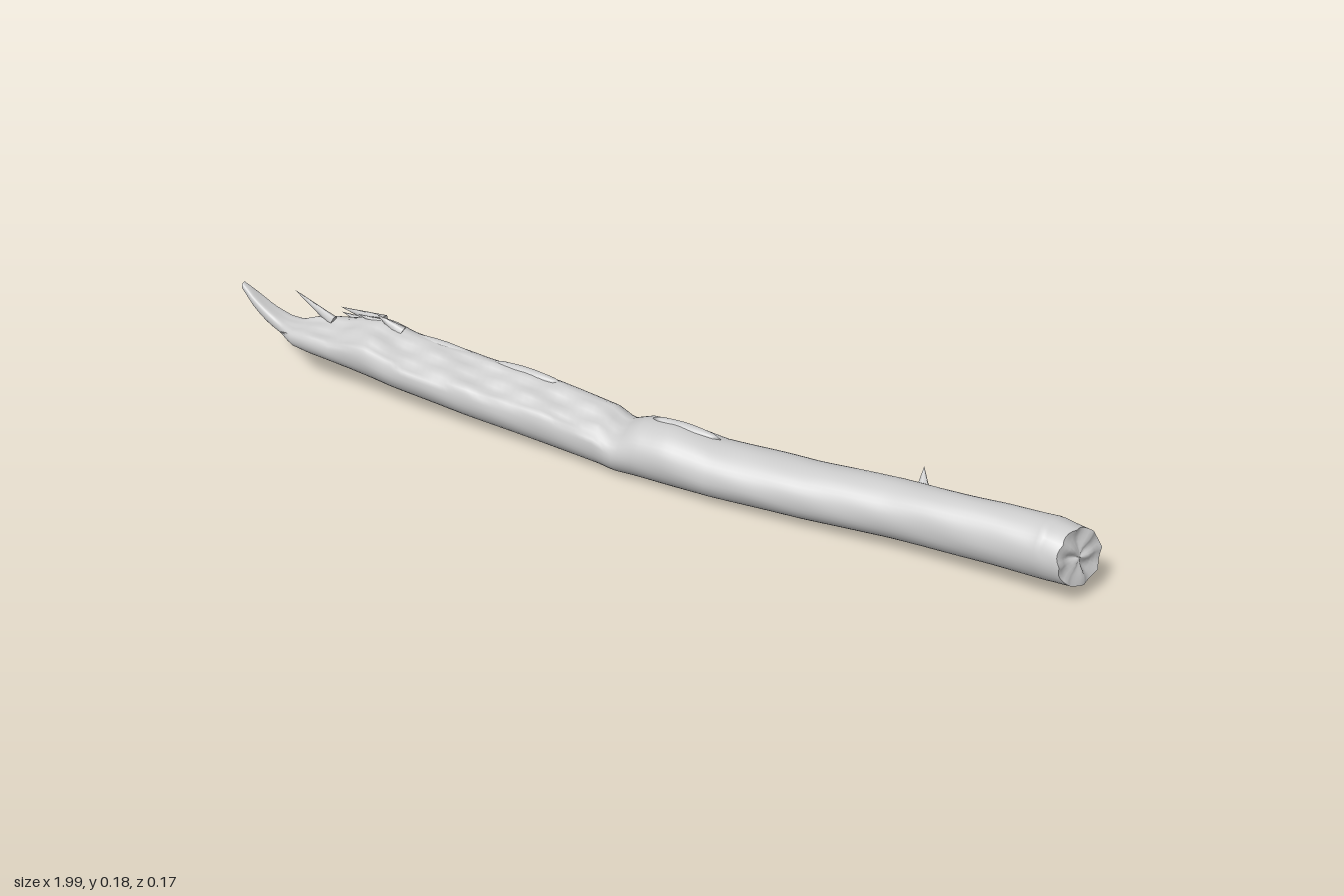
import * as THREE from 'three';

// Cross-sections along the log: x, bottom, top, back z, front z
const STATIONS = [
  [-1.0, 0.172, 0.19, -0.008, 0.008], [-0.965, 0.132, 0.172, -0.018, 0.016],
  [-0.93, 0.106, 0.152, -0.022, 0.02], [-0.89, 0.09, 0.135, -0.03, 0.026],
  [-0.85, 0.077, 0.135, -0.036, 0.046], [-0.8, 0.068, 0.148, -0.06, 0.054],
  [-0.74, 0.059, 0.152, -0.084, 0.056], [-0.69, 0.053, 0.168, -0.088, 0.06],
  [-0.64, 0.048, 0.176, -0.085, 0.064], [-0.58, 0.042, 0.16, -0.084, 0.066],
  [-0.4, 0.028, 0.15, -0.08, 0.07], [-0.2, 0.014, 0.143, -0.075, 0.07],
  [-0.06, 0.008, 0.132, -0.065, 0.076], [-0.02, 0.006, 0.112, -0.061, 0.079],
  [0.03, 0.007, 0.133, -0.058, 0.081], [0.1, 0.009, 0.14, -0.056, 0.084],
  [0.2, 0.012, 0.128, -0.055, 0.084], [0.4, 0.018, 0.132, -0.058, 0.075],
  [0.58, 0.026, 0.143, -0.06, 0.066], [0.66, 0.03, 0.15, -0.05, 0.066],
  [0.8, 0.036, 0.16, -0.045, 0.07], [0.93, 0.041, 0.168, -0.04, 0.078],
  [1.0, 0.043, 0.158, -0.036, 0.074],
];
const RINGS = 130, SIDES = 40;

function section(x) {
  let i = 0;
  while (i < STATIONS.length - 2 && x > STATIONS[i + 1][0]) i++;
  const a = STATIONS[i], b = STATIONS[i + 1];
  const t = (x - a[0]) / (b[0] - a[0]);
  return a.map((v, k) => v + (b[k] - v) * t);
}

// Repeatable lumpiness, periodic around the log
const lumps = (x, a) =>
  0.5 * Math.sin(9 * x + 2 * a) + 0.3 * Math.sin(23 * x - 3 * a + 1) + 0.2 * Math.sin(41 * x + 5 * a + 2);
const rough = (x, a) =>
  0.5 * Math.sin(31 * x + 3 * a) + 0.3 * Math.sin(67 * x - 7 * a) + 0.3 * Math.sin(15 * x + 11 * a);

// Point on the bark at station x and angle a (0 = front, 90 degrees = top)
function surface(x, a) {
  const [, bottom, top, back, front] = section(x);
  const ss = THREE.MathUtils.smoothstep;
  let u = Math.cos(a), v = Math.sin(a);
  const amount = 1 + 0.022 * lumps(x, a) * (v > -0.3 ? 1 : 0.4);
  u *= amount; v *= amount;
  // split, weathered face on the upper front of the broken half
  const broken = ss(x, -0.95, -0.8) * (1 - ss(x, -0.06, 0.02));
  const nz = Math.cos(1.13), ny = Math.sin(1.13);
  const over = u * nz + v * ny - (0.76 + 0.09 * rough(x, a));
  if (over > 0) { u -= nz * over * broken; v -= ny * over * broken; }
  // hollow in the upper side of the torn tongue
  if (v > 0) v *= 1 - 0.4 * (1 - ss(x, -0.9, -0.82)) * ss(x, -1, -0.96) * Math.sin(a) * Math.abs(Math.sin(a));
  // slanted, ragged sawn end
  const end = ss(x, 0.86, 1);
  const dx = end * (0.022 * (1 + Math.cos(a)) + 0.012 * (1 + Math.sin(a)) + 0.005 * Math.abs(Math.sin(4 * a)));
  return [x - dx, (bottom + top) / 2 + v * (top - bottom) / 2, (back + front) / 2 + u * (front - back) / 2];
}

function build(positions, index) {
  const g = new THREE.BufferGeometry();
  g.setAttribute('position', new THREE.Float32BufferAttribute(positions, 3));
  g.setIndex(index);
  g.computeVertexNormals();
  return g;
}

// Quads between rings; rings run front to top to back
function ringIndex(count, flip) {
  const index = [];
  for (let i = 0; i < count; i++) for (let j = 0; j < SIDES; j++) {
    const k = (j + 1) % SIDES;
    const a = i * SIDES + j, b = a + SIDES, c = i * SIDES + k, d = c + SIDES;
    if (flip) index.push(a, c, b, b, c, d);
    else index.push(a, b, c, b, d, c);
  }
  return index;
}

function barkGeometry() {
  const p = [];
  for (let i = 0; i <= RINGS; i++) for (let j = 0; j < SIDES; j++) {
    p.push(...surface(-1 + 2 * i / RINGS, j / SIDES * Math.PI * 2));
  }
  return build(p, ringIndex(RINGS, false));
}

// Uneven end face made of shrinking rings
function endGeometry(x, dir, depth) {
  const p = [], steps = 6;
  const [, bottom, top, back, front] = section(x);
  const cy = (bottom + top) / 2, cz = (back + front) / 2;
  for (let i = 0; i <= steps; i++) for (let j = 0; j < SIDES; j++) {
    const a = j / SIDES * Math.PI * 2, s = 1 - i / steps;
    const q = surface(x, a);
    const mid = dir > 0 ? x - 0.036 : x;
    const bump = depth * Math.sin(Math.PI * s) * (0.5 + Math.sin(3 * a + 4 * s) + 0.6 * Math.sin(5 * a));
    p.push(mid + (q[0] - mid) * s - dir * bump, cy + (q[1] - cy) * s, cz + (q[2] - cz) * s);
  }
  return build(p, ringIndex(steps, dir < 0));
}

export function createModel() {
  const group = new THREE.Group();
  const wood = new THREE.MeshStandardMaterial({ color: 0xcccccc });
  wood.name = 'paleWood';

  const add = (name, geometry) => {
    const mesh = new THREE.Mesh(geometry, wood);
    mesh.name = name;
    group.add(mesh);
    return mesh;
  };

  add('bark', barkGeometry());
  add('sawnEnd', endGeometry(1, 1, 0.004));
  add('tornTip', endGeometry(-1, -1, 0));

  // Pointed slivers, from base to tip, with a flattened section
  const sliver = (name, base, tip, radius, flat = 0.6) => {
    const from = new THREE.Vector3(...base), to = new THREE.Vector3(...tip);
    const dir = to.clone().sub(from);
    const mesh = add(name, new THREE.ConeGeometry(radius, dir.length(), 6, 3));
    mesh.position.copy(from).add(to).multiplyScalar(0.5);
    mesh.quaternion.setFromUnitVectors(new THREE.Vector3(0, 1, 0), dir.normalize());
    mesh.scale.z = flat;
  };
  sliver('longSplinter', [-0.77, 0.142, -0.015], [-0.89, 0.182, -0.038], 0.014);
  sliver('backSplinter', [-0.66, 0.12, -0.07], [-0.8, 0.128, -0.086], 0.022);
  sliver('upperSplinter', [-0.66, 0.15, -0.055], [-0.79, 0.15, -0.07], 0.018);
  sliver('frontSplinter', [-0.76, 0.1, 0.03], [-0.88, 0.115, 0.04], 0.02);
  sliver('crestSplinter', [-0.6, 0.15, -0.03], [-0.655, 0.187, -0.02], 0.02);
  sliver('crestChip', [-0.64, 0.155, -0.035], [-0.71, 0.172, -0.025], 0.016);
  sliver('twigStub', [0.62, 0.125, -0.04], [0.61, 0.152, -0.064], 0.012);

  // Raised flakes of bark along the split edge
  for (const [x, y, z, length] of [[-0.5, 0.143, -0.035, 0.2], [-0.28, 0.137, -0.03, 0.18], [0.12, 0.13, 0.002, 0.16], [-0.6, 0.11, 0.048, 0.16]]) {
    const flake = add('barkFlake', new THREE.SphereGeometry(1, 10, 6));
    flake.scale.set(length / 2, 0.012, 0.014);
    flake.position.set(x, y, z);
    flake.rotation.z = -0.05;
  }
  return group;
}
